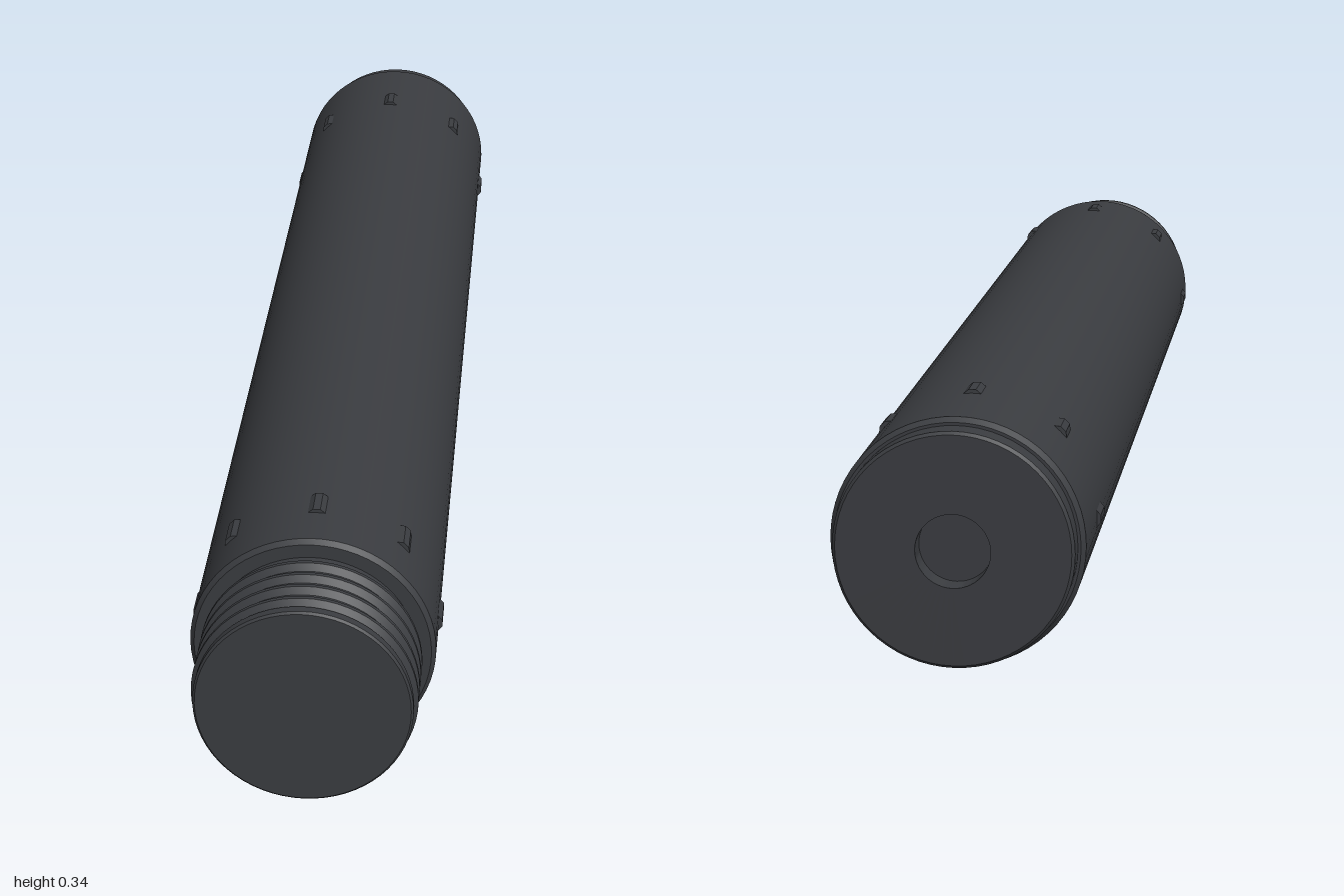
import * as THREE from 'three';
import { toCreasedNormals } from 'three/addons/utils/BufferGeometryUtils.js';

const AXIS_Y = 0.172;
const BODY_R = 0.167;

export function createModel() {
  const group = new THREE.Group();
  const material = new THREE.MeshStandardMaterial({ color: 0x3a3c40 });

  // Turned part: profile of [radius, z] running from back to front
  function turned(name, profile) {
    const points = profile.map(([r, z]) => new THREE.Vector2(r, z));
    const geometry = new THREE.LatheGeometry(points, 64).rotateX(Math.PI / 2);
    const mesh = new THREE.Mesh(toCreasedNormals(geometry, 0.4), material);
    mesh.name = name;
    mesh.position.y = AXIS_Y;
    group.add(mesh);
  }

  // Main tube with small chamfers at both ends
  turned('body', [
    [0.15, -0.965], [0.161, -0.965], [BODY_R, -0.957],
    [BODY_R, 0.848], [0.161, 0.855], [0, 0.855],
  ]);

  // Back cap with a shallow central recess
  turned('endCap', [
    [0, -0.968], [0.049, -0.968], [0.049, -1], [0.153, -1],
    [0.157, -0.996], [0.157, -0.96],
  ]);

  // Threaded spigot at the front
  const thread = [[0.142, 0.85]];
  for (let i = 0; i < 4; i++) {
    const z = 0.88 + i * 0.03;
    thread.push([0.142, z - 0.011], [0.15, z - 0.003], [0.15, z + 0.003], [0.142, z + 0.011]);
  }
  thread.push([0.145, 0.985], [0.145, 0.997], [0.142, 1], [0, 1]);
  turned('threadedSpigot', thread);

  // Two rings of eight small raised ribs
  const section = new THREE.Shape([
    new THREE.Vector2(-0.016, BODY_R - 0.004),
    new THREE.Vector2(0.016, BODY_R - 0.004),
    new THREE.Vector2(0.005, AXIS_Y),
    new THREE.Vector2(-0.005, AXIS_Y),
  ]);
  const rib = new THREE.ExtrudeGeometry(section, { depth: 0.046, bevelEnabled: false });
  rib.translate(0, 0, -0.023);
  for (const [name, z] of [['backRibs', -0.8], ['frontRibs', 0.755]]) {
    const ring = new THREE.Group();
    ring.name = name;
    ring.position.set(0, AXIS_Y, z);
    for (let i = 0; i < 8; i++) {
      const mesh = new THREE.Mesh(rib, material);
      mesh.name = 'rib';
      mesh.rotation.z = (i * Math.PI) / 4;
      ring.add(mesh);
    }
    group.add(ring);
  }
  return group;
}
